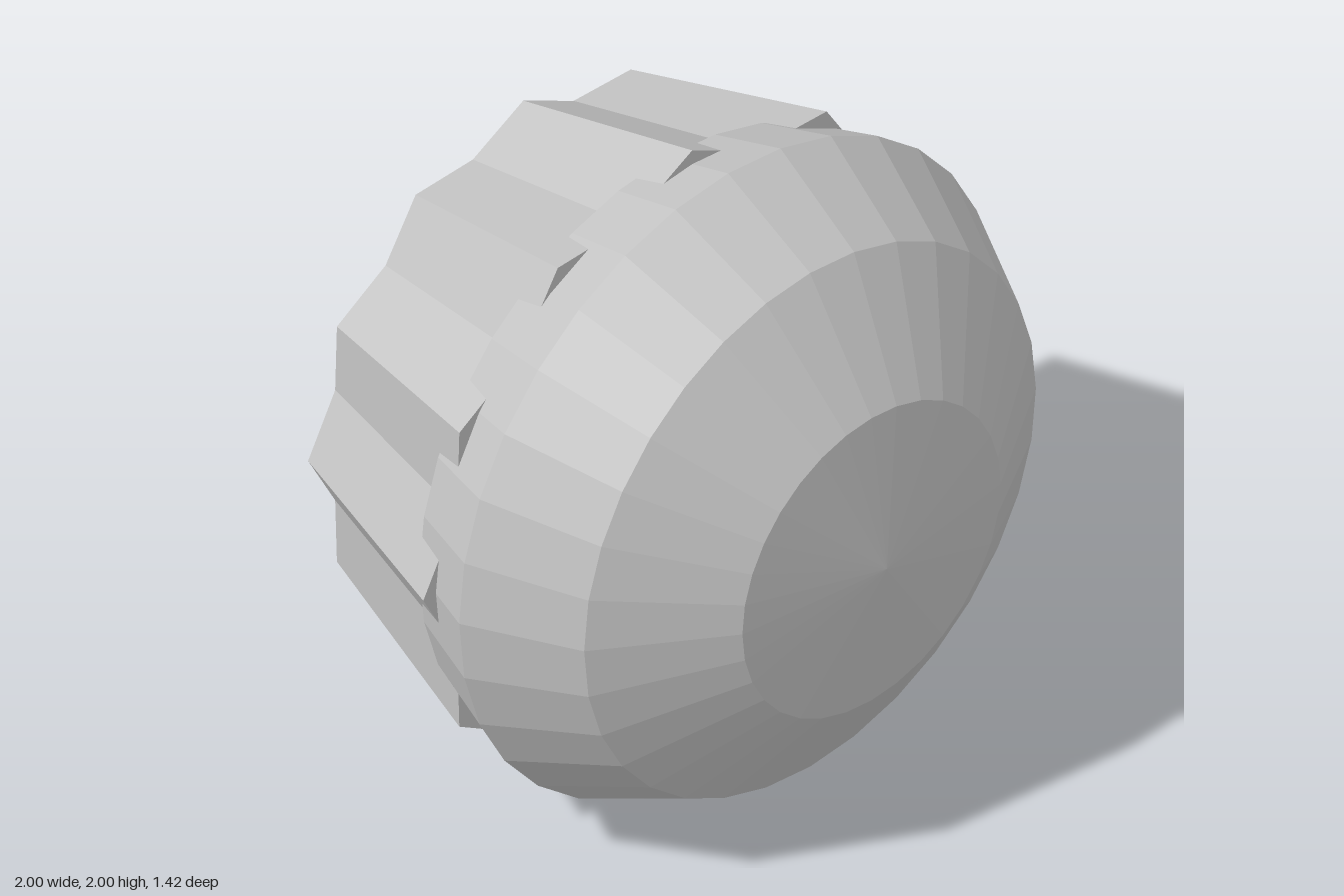
import * as THREE from 'three';

export function createModel() {
  const group = new THREE.Group();
  group.name = 'knob';
  const grey = new THREE.MeshStandardMaterial({ color: 0xc4c4c4, flatShading: true });
  grey.name = 'grey';

  // Parts are shaped around y, then turned so that axis faces the front
  const add = (geometry, name) => {
    geometry.rotateX(Math.PI / 2);
    const mesh = new THREE.Mesh(geometry, grey);
    mesh.name = name;
    mesh.position.y = 1;
    group.add(mesh);
  };

  // Faceted dome with a closed back
  const profile = [[0, -0.15], [0.92, -0.15], [1, 0.09], [0.84, 0.41], [0.48, 0.65], [0, 0.71]];
  add(new THREE.LatheGeometry(profile.map(([r, y]) => new THREE.Vector2(r, y)), 32), 'dome');

  // Tapered twelve-point grip: every second corner is drawn inwards
  const points = 12;
  const grip = new THREE.CylinderGeometry(1, 0.8, 0.66, points * 2);
  const pos = grip.attributes.position;
  for (let i = 0; i < pos.count; i++) {
    const x = pos.getX(i), z = pos.getZ(i);
    const corner = Math.round((Math.atan2(x, z) / Math.PI) * points);
    if (corner % 2 !== 0) {
      pos.setX(i, x * 0.905);
      pos.setZ(i, z * 0.905);
    }
  }
  grip.translate(0, -0.38, 0);
  add(grip, 'fluted grip');

  return group;
}
